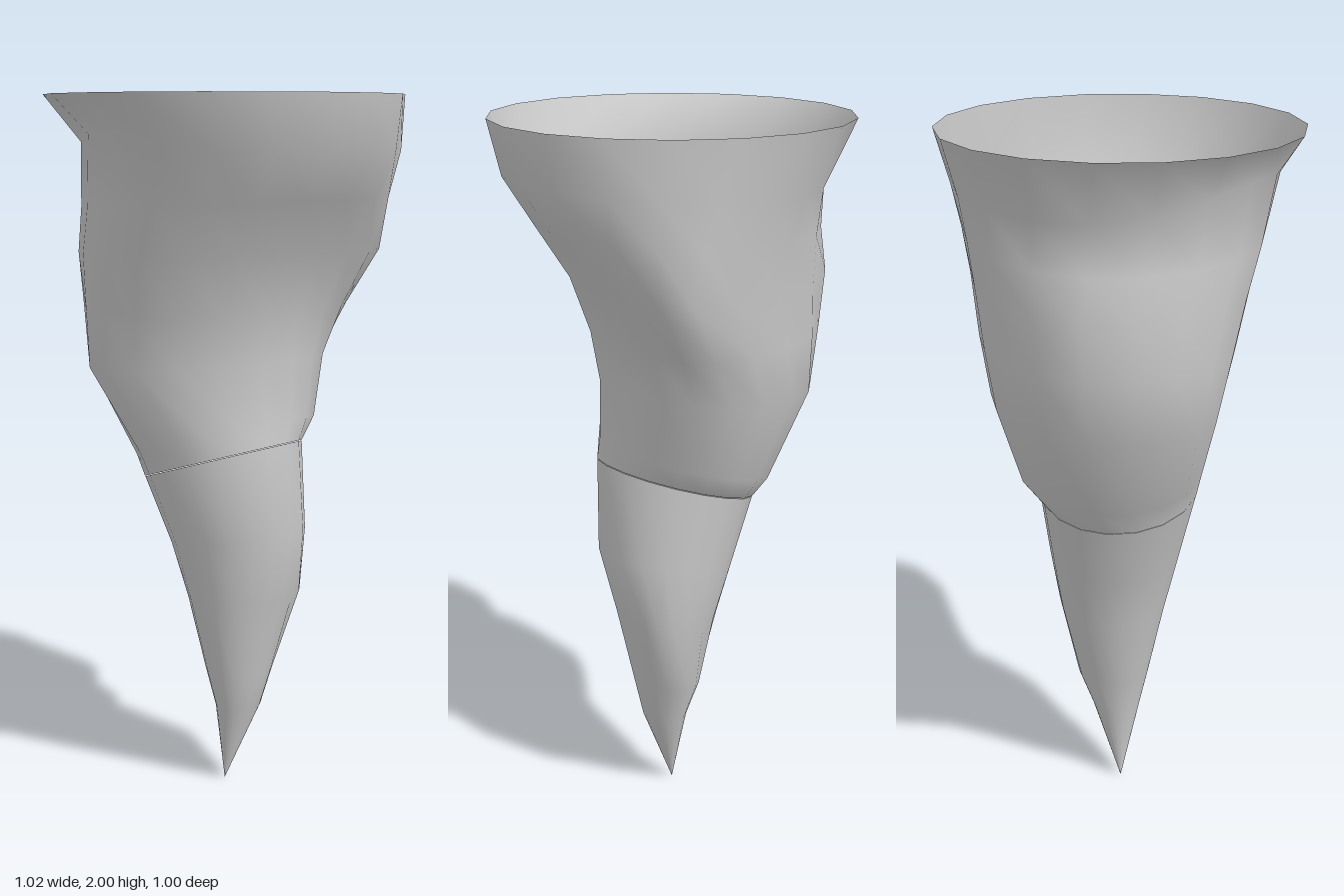
import * as THREE from 'three';

const SIDES = 18;

// Cross-sections from top to bottom:
// [height, tilt along x, xMin, xMax, zMin, zMax, back shift in x, front shift in x, front dent lift]
const UPPER = [
  [2.0, 0, -0.508, 0.508, -0.508, 0.508],
  [1.83, 0.04, -0.4, 0.48, -0.478, 0.435, 0.02, 0, 0.07],
  [1.7, 0.04, -0.418, 0.395, -0.463, 0.4, 0.12],
  [1.56, 0, -0.444, 0.293, -0.447, 0.366, 0.21],
  [1.4, 0, -0.426, 0.235, -0.408, 0.333, 0.14, -0.02],
  [1.25, 0.06, -0.405, 0.215, -0.364, 0.298, 0.07, -0.055],
  [1.035, 0.28, -0.265, 0.215, -0.3, 0.243, 0.03],
  [0.968, 0.295, -0.232, 0.217, -0.235, 0.228],
];
const LOWER = [
  [0.966, 0.295, -0.231, 0.217, -0.234, 0.227],
  [0.735, 0.15, -0.16, 0.23, -0.212, 0.172],
  [0.56, 0.05, -0.115, 0.182, -0.195, 0.128, 0.05],
  [0.34, 0, -0.06, 0.127, -0.13, 0.078],
  [0.23, 0, -0.027, 0.099, -0.087, 0.052],
  [0, 0, 0, 0, 0, 0],
];

function ringPoint([y, tilt, x0, x1, z0, z1, back = 0, front = 0, lift = 0], i) {
  const a = (i / SIDES) * Math.PI * 2;
  const s = Math.sin(a);
  const shift = (s < 0 ? back : front) * s * s;
  const x = (x0 + x1) / 2 + ((x1 - x0) / 2) * Math.cos(a) + shift;
  const z = (z0 + z1) / 2 + ((z1 - z0) / 2) * s;
  const dent = lift * Math.max(0, Math.cos(a - 2.05)) ** 4;
  return [x, y + tilt * x + dent, z];
}

function build(positions, index) {
  const geo = new THREE.BufferGeometry();
  geo.setAttribute('position', new THREE.Float32BufferAttribute(positions, 3));
  geo.setIndex(index);
  geo.computeVertexNormals();
  return geo;
}

// Smooth skin through a stack of rings; a zero-size last ring closes to a point
function loft(rings) {
  const pos = [], idx = [];
  rings.forEach((ring) => {
    for (let i = 0; i < SIDES; i++) pos.push(...ringPoint(ring, i));
  });
  for (let r = 0; r < rings.length - 1; r++) {
    const pointed = rings[r + 1][2] === rings[r + 1][3];
    for (let i = 0; i < SIDES; i++) {
      const n = (i + 1) % SIDES;
      const a = r * SIDES + i, b = r * SIDES + n;
      const c = a + SIDES, d = b + SIDES;
      idx.push(c, a, b);
      if (!pointed) idx.push(c, b, d);
    }
  }
  return build(pos, idx);
}

// Flat upward-facing disc filling a ring
function disc(ring) {
  const pos = [], idx = [];
  for (let i = 0; i < SIDES; i++) pos.push(...ringPoint(ring, i));
  for (let i = 1; i < SIDES - 1; i++) idx.push(0, i + 1, i);
  return build(pos, idx);
}

export function createModel() {
  const group = new THREE.Group();
  group.name = 'twistedFunnel';
  const material = new THREE.MeshStandardMaterial({ color: 0xcccccc, side: THREE.DoubleSide });
  const add = (name, geometry) => {
    const mesh = new THREE.Mesh(geometry, material);
    mesh.name = name;
    group.add(mesh);
  };

  add('upperFunnel', loft(UPPER)); // open shell
  add('lowerTip', loft(LOWER)); // pointed end
  add('tipCap', disc(LOWER[0])); // slanted lid of the pointed end
  return group;
}
